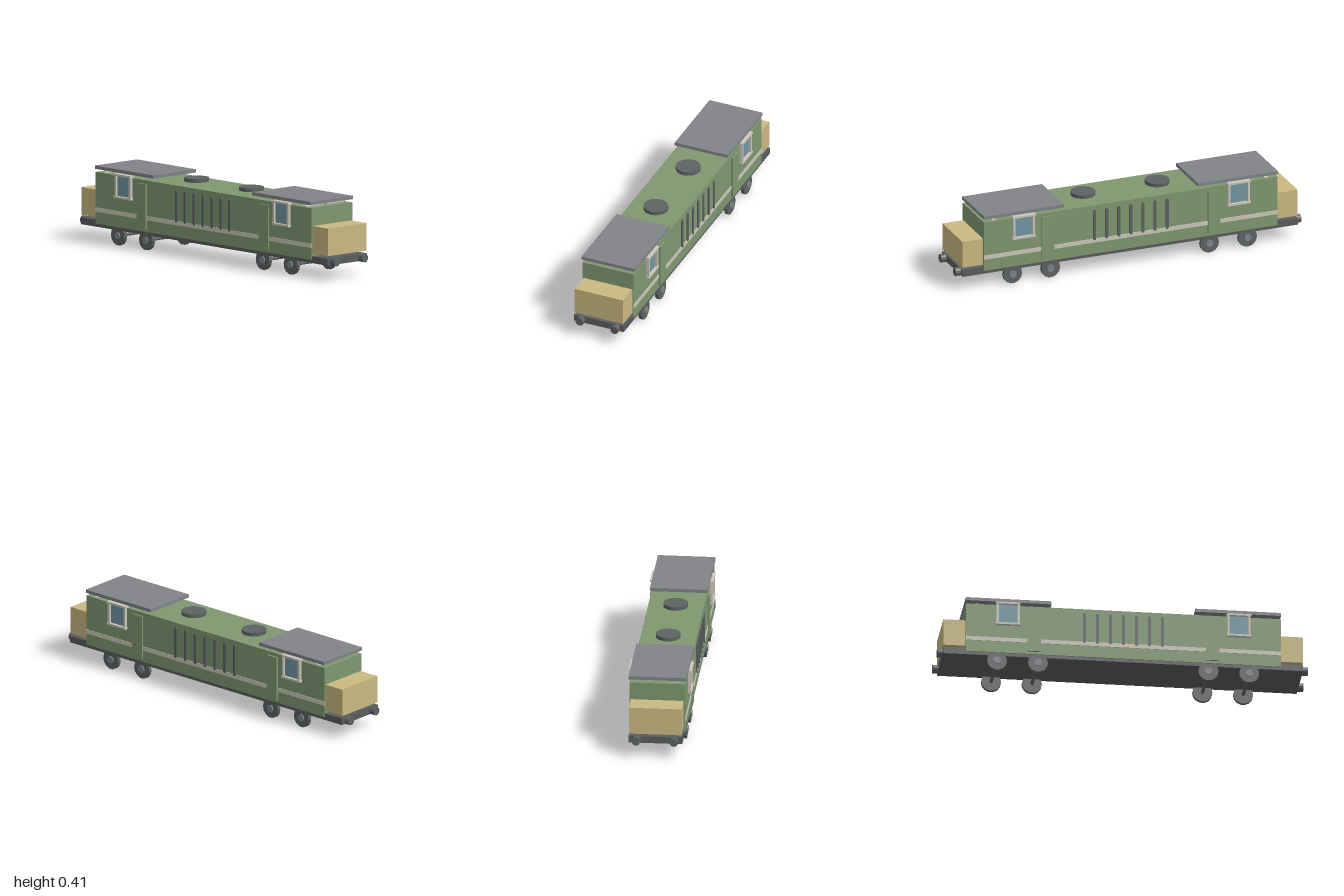
import * as THREE from 'three';

const mat = (color) => new THREE.MeshStandardMaterial({ color, flatShading: true });

export function createModel() {
  const green = mat(0x7f9870), tan = mat(0xcab981), dark = mat(0x5d6263), frameDark = mat(0x595c5e);
  const grey = mat(0x818388), cream = mat(0xcdc7bb), glass = mat(0x7196a3);
  const model = new THREE.Group();
  model.name = 'locomotive';

  function add(parent, name, geometry, material, x, y, z) {
    const mesh = new THREE.Mesh(geometry, material);
    mesh.name = name;
    mesh.position.set(x, y, z);
    parent.add(mesh);
    return mesh;
  }
  // box given by its lower and upper limits on each axis
  function box(parent, name, material, [x0, x1], [y0, y1], [z0, z1]) {
    return add(parent, name, new THREE.BoxGeometry(x1 - x0, y1 - y0, z1 - z0), material,
      (x0 + x1) / 2, (y0 + y1) / 2, (z0 + z1) / 2);
  }
  // cylinder lying along x or z, or standing on y
  function rod(parent, name, material, axis, radius, length, sides, x, y, z) {
    const g = new THREE.CylinderGeometry(radius, radius, length, sides);
    if (axis === 'x') g.rotateZ(Math.PI / 2);
    if (axis === 'z') g.rotateX(Math.PI / 2);
    return add(parent, name, g, material, x, y, z);
  }

  // chassis and long body
  box(model, 'chassis', frameDark, [-0.145, 0.145], [0.082, 0.119], [-0.97, 0.97]);
  box(model, 'body', green, [-0.15, 0.15], [0.1, 0.38], [-0.85, 0.85]);

  // roof fans
  for (const z of [-0.215, 0.215]) rod(model, 'roofFan', dark, 'y', 0.067, 0.02, 16, 0, 0.398, z);

  for (const e of [-1, 1]) {
    const range = (a, b) => (e > 0 ? [a, b] : [-b, -a]);
    const end = new THREE.Group();
    end.name = e > 0 ? 'frontEnd' : 'rearEnd';
    model.add(end);

    // nose, cab roof, buffers and tops of the windscreen frames
    box(end, 'nose', tan, [-0.142, 0.142], [0.133, 0.283], range(0.83, 0.97));
    box(end, 'cabRoof', grey, [-0.155, 0.155], [0.397, 0.415], range(0.388, 0.85));
    for (const s of [-1, 1]) {
      rod(end, 'buffer', dark, 'z', 0.023, 0.035, 12, s * 0.102, 0.1, e * 0.9825);
      box(end, 'windscreenFrame', cream, s > 0 ? [0.012, 0.143] : [-0.143, -0.012],
        [0.26, 0.385], range(0.778, 0.8));
    }

    // wheel sets
    for (const z of [0.46, 0.68]) {
      const set = new THREE.Group();
      set.name = 'wheelSet';
      set.position.set(0, 0.054, e * z);
      end.add(set);
      rod(set, 'axle', dark, 'x', 0.009, 0.26, 10, 0, 0, 0);
      for (const s of [-1, 1]) {
        rod(set, 'wheel', dark, 'x', 0.054, 0.019, 14, s * 0.1355, 0, 0);
        rod(set, 'hub', grey, 'x', 0.02, 0.024, 12, s * 0.14, 0, 0);
      }
    }
  }

  for (const s of [-1, 1]) {
    const out = (a, b) => (s > 0 ? [a, b] : [-b, -a]);
    const side = new THREE.Group();
    side.name = s > 0 ? 'leftSide' : 'rightSide';
    model.add(side);

    box(side, 'stripe', cream, out(0.145, 0.153), [0.165, 0.188], [-0.85, 0.85]);

    // seven louvres with rounded ends
    for (let i = -3; i <= 3; i++) {
      box(side, 'louvre', dark, out(0.146, 0.157), [0.188, 0.347], [i * 0.07 - 0.008, i * 0.07 + 0.008]);
      for (const y of [0.188, 0.347])
        rod(side, 'louvreEnd', dark, 'x', 0.008, 0.011, 8, s * 0.1515, y, i * 0.07);
    }

    for (const e of [-1, 1]) {
      const range = (a, b) => (e > 0 ? [a, b] : [-b, -a]);
      box(side, 'door', green, out(0.145, 0.16), [0.114, 0.36], range(0.446, 0.517));

      // cab window: glass set back in a four-bar frame
      const cabWindow = new THREE.Group();
      cabWindow.name = 'cabWindow';
      side.add(cabWindow);
      box(cabWindow, 'glass', glass, out(0.145, 0.154), [0.268, 0.384], range(0.568, 0.676));
      for (const y of [0.26, 0.381])
        box(cabWindow, 'frameRail', cream, out(0.14, 0.17), [y, y + 0.011], range(0.556, 0.688));
      for (const z of [0.559, 0.672])
        box(cabWindow, 'framePost', cream, out(0.14, 0.166), [0.266, 0.386], range(z, z + 0.013));
    }
  }
  return model;
}
